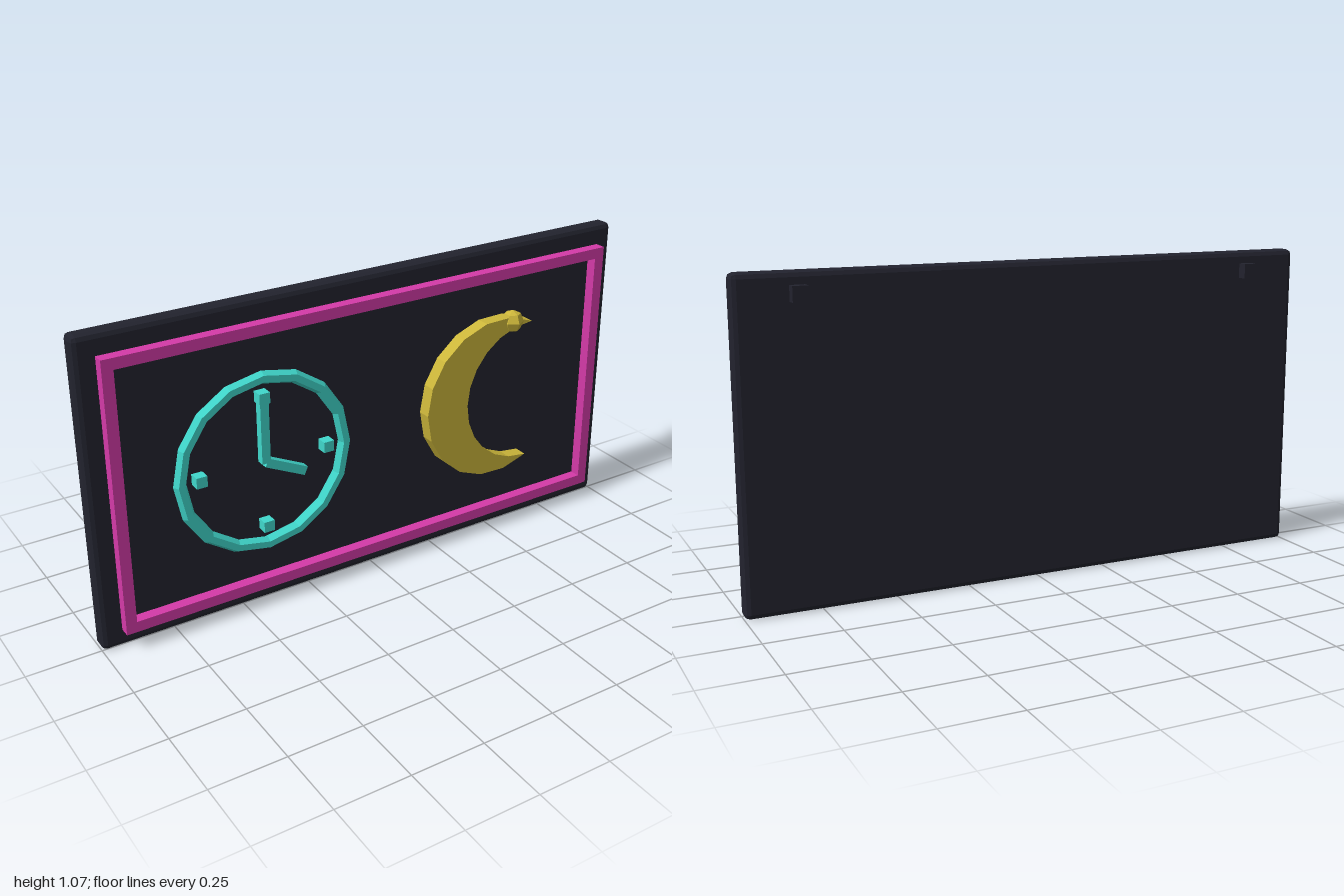
import * as THREE from 'three';
import { RoundedBoxGeometry } from 'three/addons/geometries/RoundedBoxGeometry.js';

const material = (name, color) =>
  new THREE.MeshStandardMaterial({ name, color, flatShading: true });

function rectangle(PathType, w, h) {
  return new PathType([[-w, -h], [w, -h], [w, h], [-w, h]]
    .map(([x, y]) => new THREE.Vector2(x / 2, y / 2)));
}

export function createModel() {
  const model = new THREE.Group();
  model.name = 'neonSign';
  const dark = material('darkBoard', 0x22232e);
  const pink = material('pinkTube', 0xd43aa8);
  const teal = material('tealTube', 0x40d8cc);
  const gold = material('goldTube', 0xccb63a);

  function add(name, geometry, mat, x, y, z, parent = model) {
    const mesh = new THREE.Mesh(geometry, mat);
    mesh.name = name;
    mesh.position.set(x, y, z);
    parent.add(mesh);
    return mesh;
  }

  // Backing board with chamfered edges and two wall mounts
  add('backBoard', new RoundedBoxGeometry(2, 1.066, 0.065, 1, 0.018), dark, 0, 0.533, -0.0225);
  for (const side of [-1, 1]) {
    add('wallMount', new THREE.BoxGeometry(0.05, 0.05, 0.04), dark, side * 0.8, 1, -0.069);
  }

  // Rectangular border, floating just off the board
  const border = rectangle(THREE.Shape, 1.867, 0.933);
  border.holes.push(rectangle(THREE.Path, 1.793, 0.859));
  add('border', new THREE.ExtrudeGeometry(border, { depth: 0.038, bevelEnabled: false }),
    pink, 0, 0.533, 0.018);

  // Clock: faceted ring, four hour marks and two hands
  const clock = new THREE.Group();
  clock.name = 'clock';
  clock.position.set(-0.428, 0.535, 0.055);
  model.add(clock);
  add('clockRing', new THREE.TorusGeometry(0.293, 0.022, 6, 16), teal, 0, 0, 0, clock);
  for (let i = 0; i < 4; i++) {
    const a = i * Math.PI / 2;
    add('hourMark', new THREE.BoxGeometry(0.037, 0.037, 0.037), teal,
      0.226 * Math.cos(a), 0.226 * Math.sin(a), 0, clock);
  }
  add('longHand', new THREE.BoxGeometry(0.03, 0.22, 0.028), teal, 0, 0.11, 0, clock);
  const shortHand = add('shortHand', new THREE.BoxGeometry(0.155, 0.03, 0.028), teal,
    0.072, -0.032, 0, clock);
  shortHand.rotation.z = -0.45;

  // Crescent moon: outer arc and a shallower inner arc between the same tips
  const points = [];
  const arc = (cx, r, from, to, steps) => {
    for (let i = 0; i <= steps; i++) {
      const a = from + (to - from) * i / steps;
      points.push(new THREE.Vector2(cx + r * Math.cos(a), r * Math.sin(a)));
    }
  };
  const tip = Math.atan2(0.257, 0.137);
  arc(0.483, 0.292, tip, 2 * Math.PI - tip, 12);
  arc(0.613, 0.257, 1.5 * Math.PI, 0.5 * Math.PI, 12);
  add('crescentMoon', new THREE.ExtrudeGeometry(new THREE.Shape(points),
    { depth: 0.048, bevelEnabled: false }), gold, 0, 0.535, 0.017);

  // Small faceted bead on the upper tip
  const bead = add('moonBead', new THREE.SphereGeometry(0.04, 6, 4), gold, 0.545, 0.803, 0.05);
  bead.rotation.y = Math.PI / 2;

  return model;
}
